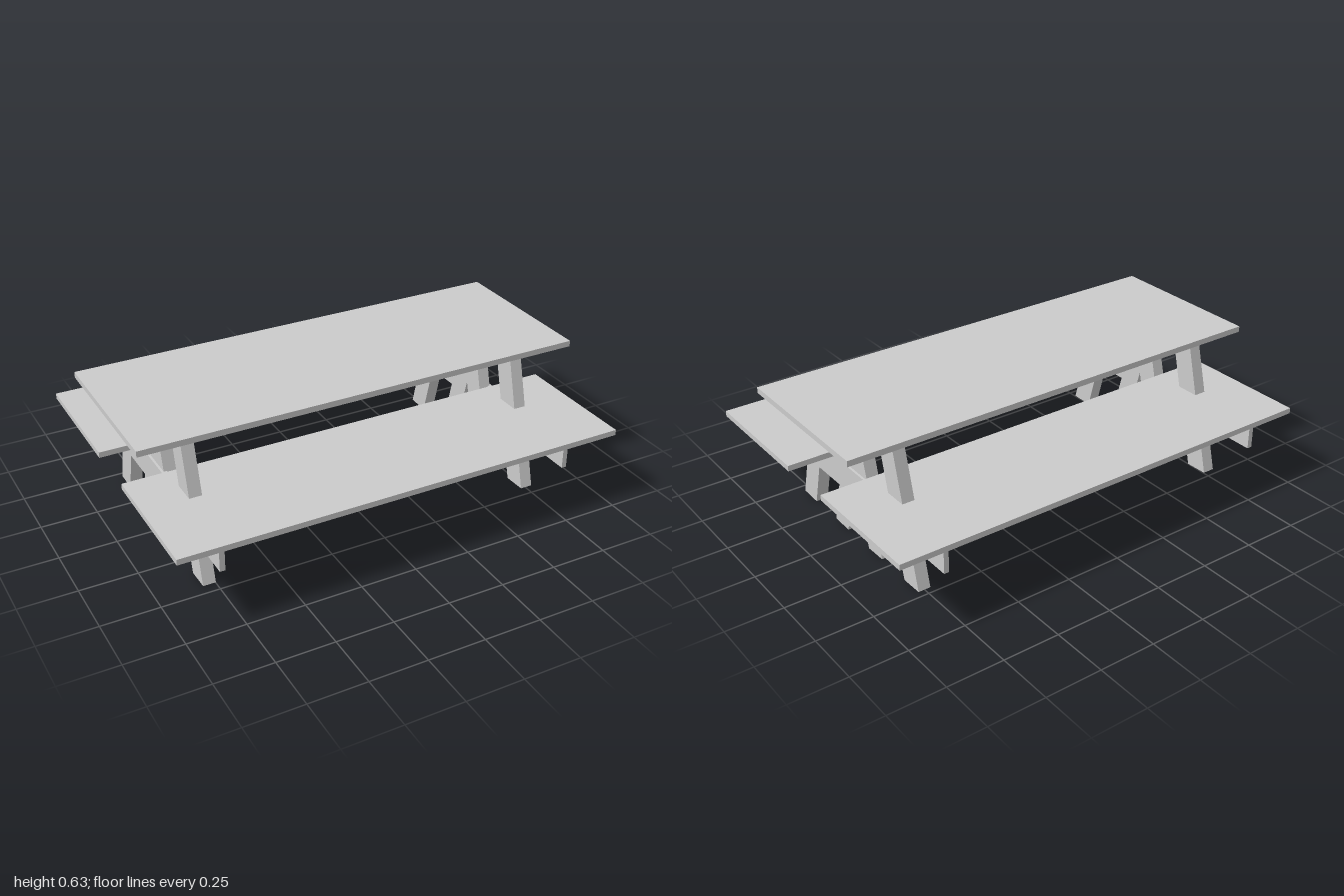
import * as THREE from 'three';

const material = new THREE.MeshStandardMaterial({ color: 0xcccccc, flatShading: true });

// Box given by its minimum and maximum along each axis
function board(name, [x0, x1], [y0, y1], [z0, z1]) {
  const mesh = new THREE.Mesh(new THREE.BoxGeometry(x1 - x0, y1 - y0, z1 - z0), material);
  mesh.position.set((x0 + x1) / 2, (y0 + y1) / 2, (z0 + z1) / 2);
  mesh.name = name;
  return mesh;
}

// Slanted post: a box whose z positions shift with height
function leg(name, [x0, x1], zBottom, zTop) {
  const bottom = 0, top = 0.605, width = 0.104;
  const geometry = new THREE.BoxGeometry(x1 - x0, top - bottom, width);
  const p = geometry.attributes.position;
  for (let i = 0; i < p.count; i++) {
    const isTop = p.getY(i) > 0;
    // feet are cut a touch off level
    if (!isTop) p.setY(i, p.getY(i) + (Math.sign(p.getZ(i)) === Math.sign(zTop - zBottom) ? 0.003 : 0.006));
    p.setZ(i, p.getZ(i) + (isTop ? zTop : zBottom));
  }
  geometry.computeVertexNormals();
  const mesh = new THREE.Mesh(geometry, material);
  mesh.position.set((x0 + x1) / 2, (bottom + top) / 2, 0);
  mesh.name = name;
  return mesh;
}

export function createModel() {
  const group = new THREE.Group();
  group.name = 'picnicTable';

  // Table top and the two benches
  group.add(board('tableTop', [-1, 1], [0.602, 0.628], [-0.372, 0.355]));
  group.add(board('frontBench', [-1, 1], [0.338, 0.363], [0.135, 0.713]));
  group.add(board('backBench', [-1, 1], [0.338, 0.363], [-0.713, -0.135]));

  // End frames: a cross rail on the outside of four slanted legs
  const frames = [
    { name: 'left', legX: [0.725, 0.78], railX: [0.768, 0.79] },
    { name: 'right', legX: [-0.805, -0.75], railX: [-0.815, -0.792] },
  ];
  const legs = [
    ['FrontOuterLeg', 0.404, 0.244],
    ['FrontInnerLeg', 0.127, -0.033],
    ['BackInnerLeg', -0.146, 0.011],
    ['BackOuterLeg', -0.421, -0.265],
  ];
  for (const { name, legX, railX } of frames) {
    const frame = new THREE.Group();
    frame.name = name + 'Frame';
    frame.add(board(name + 'CrossRail', railX, [0.215, 0.338], [-0.678, 0.665]));
    for (const [part, zBottom, zTop] of legs) frame.add(leg(name + part, legX, zBottom, zTop));
    group.add(frame);
  }
  return group;
}
